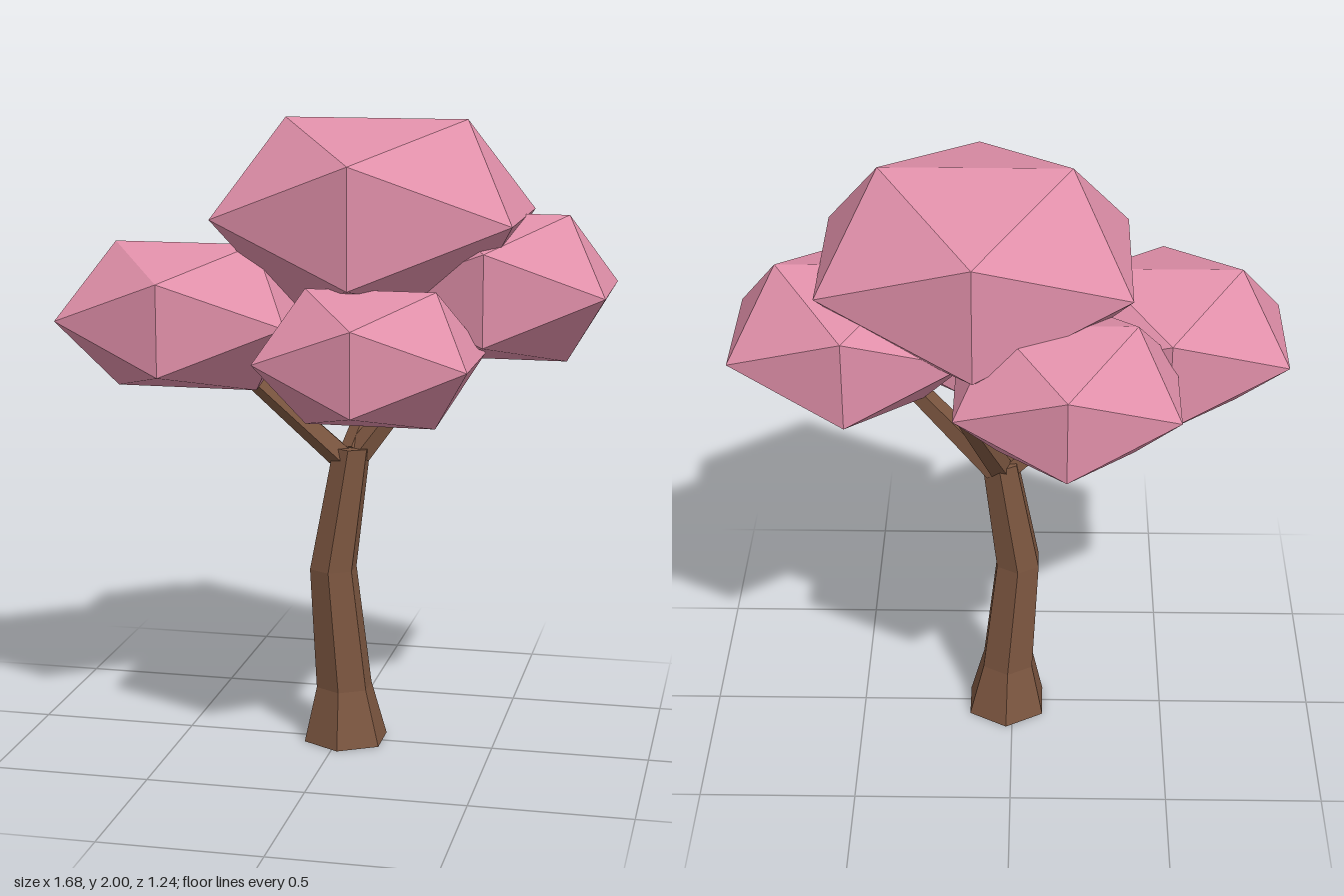
import * as THREE from 'three';

export function createModel() {
  const tree = new THREE.Group();
  tree.name = 'tree';
  const bark = new THREE.MeshStandardMaterial({ name: 'bark brown', color: 0x7c5640, flatShading: true });
  const blossom = new THREE.MeshStandardMaterial({ name: 'blossom pink', color: 0xe08fa9, flatShading: true });

  function add(name, geometry, material) {
    const mesh = new THREE.Mesh(geometry, material);
    mesh.name = name;
    tree.add(mesh);
    return mesh;
  }

  // Trunk: six-sided column whose rings are shifted into a gentle bend
  const rings = [ // centre x, y, centre z, radius
    [0.02, 0, -0.005, 0.14],
    [0.015, 0.18, -0.002, 0.093],
    [-0.018, 0.575, 0.012, 0.078],
    [0.04, 0.97, 0, 0.062],
  ];
  const trunk = new THREE.CylinderGeometry(1, 1, 1, 6, rings.length - 1);
  const p = trunk.attributes.position;
  for (let i = 0; i < p.count; i++) {
    const [x, y, z, r] = rings[Math.round((p.getY(i) + 0.5) * (rings.length - 1))];
    p.setXYZ(i, x + p.getX(i) * r, y, z + p.getZ(i) * r);
  }
  trunk.computeVertexNormals();
  add('trunk', trunk, bark);

  // Branches: tapered five-sided limbs between two points
  function branch(name, from, to, r0, r1) {
    const a = new THREE.Vector3(...from);
    const b = new THREE.Vector3(...to);
    const dir = b.clone().sub(a);
    const mesh = add(name, new THREE.CylinderGeometry(r1, r0, dir.length(), 5), bark);
    mesh.position.copy(a).add(b).multiplyScalar(0.5);
    mesh.quaternion.setFromUnitVectors(new THREE.Vector3(0, 1, 0), dir.normalize());
  }
  branch('leftBranch', [0.06, 0.95, -0.01], [0.32, 1.3, -0.07], 0.044, 0.034);
  branch('rightBranch', [0.02, 0.93, 0.01], [-0.29, 1.21, 0.045], 0.042, 0.034);
  branch('backBranch', [0.04, 0.95, -0.01], [0.14, 1.32, -0.31], 0.042, 0.03);

  // Foliage: stretched icosahedra
  const clumps = [ // name, centre, radii
    ['topFoliage', [0.108, 1.705, -0.03], [0.544, 0.347, 0.506]],
    ['rightFoliage', [-0.475, 1.385, 0.08], [0.429, 0.27, 0.382]],
    ['leftFoliage', [0.487, 1.482, -0.088], [0.412, 0.268, 0.385]],
    ['frontFoliage', [0.165, 1.315, 0.333], [0.376, 0.241, 0.338]],
    ['backFoliage', [-0.165, 1.427, -0.325], [0.388, 0.252, 0.352]],
  ];
  for (const [name, centre, radii] of clumps) {
    const geometry = new THREE.IcosahedronGeometry(1, 0).scale(...radii);
    add(name, geometry, blossom).position.set(...centre);
  }
  return tree;
}
